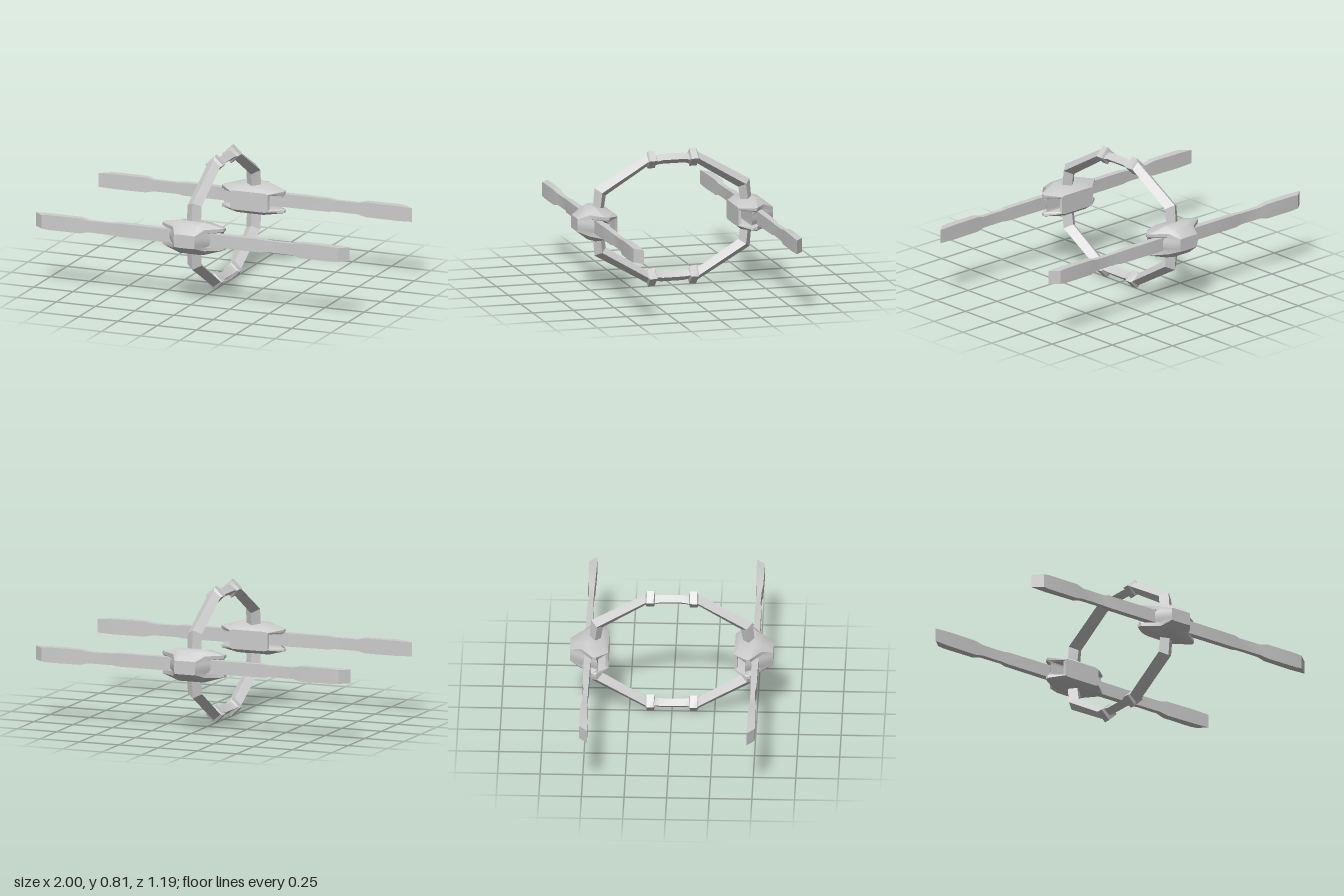
import * as THREE from 'three';
import { toCreasedNormals } from 'three/addons/utils/BufferGeometryUtils.js';

const MID = 0.4075; // height of the horizontal mirror plane
const material = new THREE.MeshStandardMaterial({ color: 0xcccccc });

// Skins a list of equal-length loops of [x, y, z]; ends are capped unless closed.
function loft(loops, closed = false) {
  const n = loops[0].length, pos = [];
  const tri = (a, b, c) => pos.push(...a, ...b, ...c);
  const spans = closed ? loops.length : loops.length - 1;
  for (let i = 0; i < spans; i++) {
    const a = loops[i], b = loops[(i + 1) % loops.length];
    for (let j = 0; j < n; j++) {
      const k = (j + 1) % n;
      tri(a[j], a[k], b[k]);
      tri(a[j], b[k], b[j]);
    }
  }
  if (!closed) {
    const first = loops[0], last = loops[loops.length - 1];
    for (let j = 1; j < n - 1; j++) {
      tri(first[0], first[j + 1], first[j]);
      tri(last[0], last[j], last[j + 1]);
    }
  }
  // Signed volume tells whether the winding must be turned outwards.
  let volume = 0;
  const v = [0, 1, 2].map(() => new THREE.Vector3());
  for (let i = 0; i < pos.length; i += 9) {
    v.forEach((p, k) => p.fromArray(pos, i + 3 * k));
    volume += v[0].dot(v[1].clone().cross(v[2]));
  }
  if (volume < 0) {
    for (let i = 0; i < pos.length; i += 9) {
      for (let k = 0; k < 3; k++) [pos[i + 3 + k], pos[i + 6 + k]] = [pos[i + 6 + k], pos[i + 3 + k]];
    }
  }
  const geometry = new THREE.BufferGeometry();
  geometry.setAttribute('position', new THREE.Float32BufferAttribute(pos, 3));
  return toCreasedNormals(geometry, 0.6);
}

function part(name, geometry) {
  const mesh = new THREE.Mesh(geometry, material);
  mesh.name = name;
  return mesh;
}

// Half of an arch: [outer z, outer y, inner z, inner y, half width], hub to middle.
const archHalf = [
  [0.487, 0.47, 0.42, 0.47, 0.045],
  [0.474, 0.61, 0.405, 0.564, 0.045],
  [0.155, 0.793, 0.155, 0.72, 0.043],
  [0.146, 0.815, 0.15, 0.708, 0.055],
  [0.106, 0.815, 0.106, 0.708, 0.055],
  [0.1, 0.785, 0.1, 0.726, 0.042],
  [0.066, 0.79, 0.066, 0.731, 0.038],
];

function arch(flip) {
  const section = (s) => ([oz, oy, iz, iy, w]) => {
    const y = (h) => MID + flip * (h - MID);
    const mz = s * (oz + iz) / 2, my = y((oy + iy) / 2);
    return [[0, y(oy), s * oz], [w, my, mz], [0, y(iy), s * iz], [-w, my, mz]];
  };
  return loft([...archHalf.map(section(1)), ...[...archHalf].reverse().map(section(-1))]);
}

// Half a blade: [x inner edge, x outer edge, z inner, z outer, half height].
const bladeHalf = [
  [0.1, 0.1, 0.472, 0.512, 0.04],
  [0.46, 0.46, 0.474, 0.51, 0.039],
  [0.5, 0.5, 0.477, 0.504, 0.034],
  [0.65, 0.65, 0.475, 0.507, 0.034],
  [0.7, 0.7, 0.472, 0.514, 0.045],
  [0.9, 0.9, 0.468, 0.516, 0.045],
  [1.0, 0.945, 0.468, 0.515, 0.041],
];

function blade(side) {
  const section = (s) => ([xi, xo, zi, zo, h]) => [
    [s * xi, MID + h, side * zi], [s * xo, MID + h, side * zo],
    [s * xo, MID - h, side * zo], [s * xi, MID - h, side * zi],
  ];
  return loft([...[...bladeHalf].reverse().map(section(-1)), ...bladeHalf.map(section(1))]);
}

// Hub loops from crown to tunnel rim; each point is [half width, height above middle, z].
const hubLoops = [
  [[0.1, 0.058, 0.37], [0.085, 0.078, 0.395], [0.08, 0.099, 0.49], [0.06, 0.088, 0.535], [0.05, 0.04, 0.597]],
  [[0.12, 0.052, 0.37], [0.2, 0.066, 0.44], [0.195, 0.066, 0.465], [0.1, 0.064, 0.53], [0.065, 0.038, 0.597]],
  [[0.12, 0.047, 0.372], [0.2, 0.05, 0.44], [0.195, 0.047, 0.463], [0.105, 0.04, 0.525], [0.067, 0.02, 0.597]],
  [[0.125, 0.042, 0.386], [0.185, 0.042, 0.433], [0.185, 0.038, 0.434], [0.185, 0.025, 0.434], [0.185, 0.01, 0.434]],
];

function hub(side) {
  const loop = (s) => (half) => [
    ...half.map(([x, h, z]) => [s * x, MID + h, side * z]),
    ...[...half].reverse().map(([x, h, z]) => [s * x, MID - h, side * z]),
  ];
  return loft([...hubLoops.map(loop(1)), ...[...hubLoops].reverse().map(loop(-1))], true);
}

export function createModel() {
  const model = new THREE.Group();
  model.name = 'ringFrameWithBlades';
  model.add(part('upperArch', arch(1)), part('lowerArch', arch(-1)));
  for (const [name, side] of [['front', 1], ['back', -1]]) {
    const assembly = new THREE.Group();
    assembly.name = name + 'Assembly';
    assembly.add(part(name + 'Hub', hub(side)), part(name + 'Blade', blade(side)));
    model.add(assembly);
  }
  return model;
}
